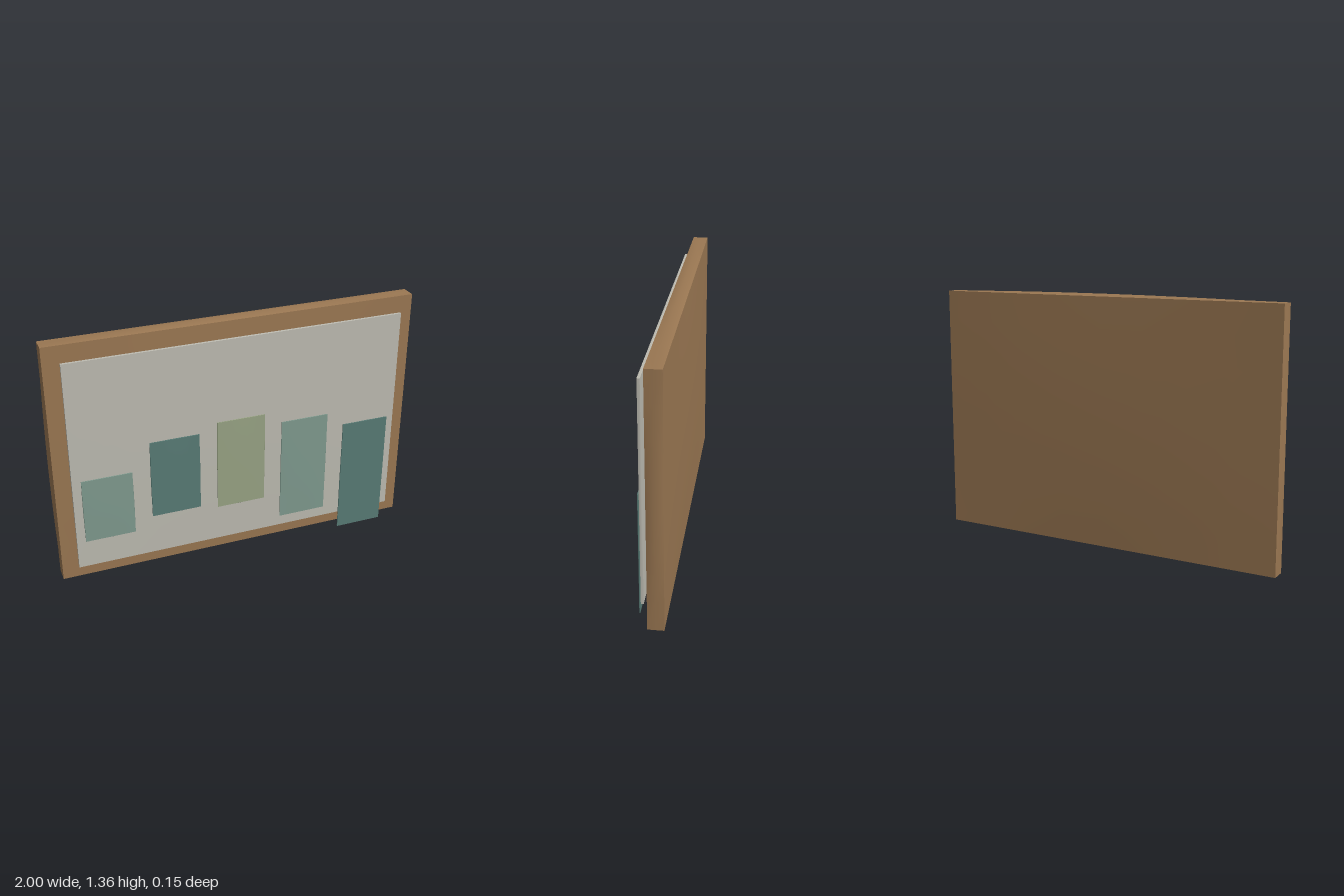
import * as THREE from 'three';

const material = (name, color) => new THREE.MeshStandardMaterial({ name, color });

// Box whose six faces swell gently outward while the edges stay straight
function swollenBox(w, h, d, bulge) {
  const size = [w, h, d];
  const geo = new THREE.BoxGeometry(w, h, d, 8, 8, 2);
  const pos = geo.attributes.position, nor = geo.attributes.normal;
  for (let i = 0; i < pos.count; i++) {
    const p = [pos.getX(i), pos.getY(i), pos.getZ(i)];
    const n = [nor.getX(i), nor.getY(i), nor.getZ(i)];
    let amount = 1;
    for (let a = 0; a < 3; a++) {
      if (Math.abs(n[a]) < 0.5) amount *= 1 - (2 * p[a] / size[a]) ** 2;
    }
    for (let a = 0; a < 3; a++) p[a] += n[a] * bulge[a] * amount;
    pos.setXYZ(i, ...p);
  }
  geo.computeVertexNormals();
  return geo;
}

export function createModel() {
  const group = new THREE.Group();
  group.name = 'pictureBoard';
  const wood = material('wood', 0x9a7752);
  const linen = material('linen', 0xbdbbb1);
  const sage = material('sage', 0x7f9a8e);
  const teal = material('teal', 0x587b75);
  const olive = material('olive', 0x98a384);

  const add = (name, mat, geo, x, y, z) => {
    const mesh = new THREE.Mesh(geo, mat);
    mesh.name = name;
    mesh.position.set(x, y, z);
    group.add(mesh);
  };

  // Wooden backboard
  add('backboard', wood, swollenBox(1.974, 1.336, 0.082, [0.013, 0.012, 0.011]), 0, 0.685, -0.023);

  // Pale panel floating in front
  add('panel', linen, swollenBox(1.81, 1.172, 0.014, [0.002, 0.002, 0.003]), 0, 0.686, 0.053);

  // Row of cards: bottom, top, colour
  const cards = [
    [0.263, 0.624, sage],
    [0.336, 0.775, teal],
    [0.31, 0.823, olive],
    [0.167, 0.757, sage],
    [0.01, 0.674, teal],
  ];
  cards.forEach(([bottom, top, mat], i) => {
    add('card' + (i + 1), mat, swollenBox(0.266, top - bottom, 0.005, [0.002, 0.002, 0.0015]),
      (i - 2) * 0.3635, (bottom + top) / 2, 0.073);
  });
  return group;
}
